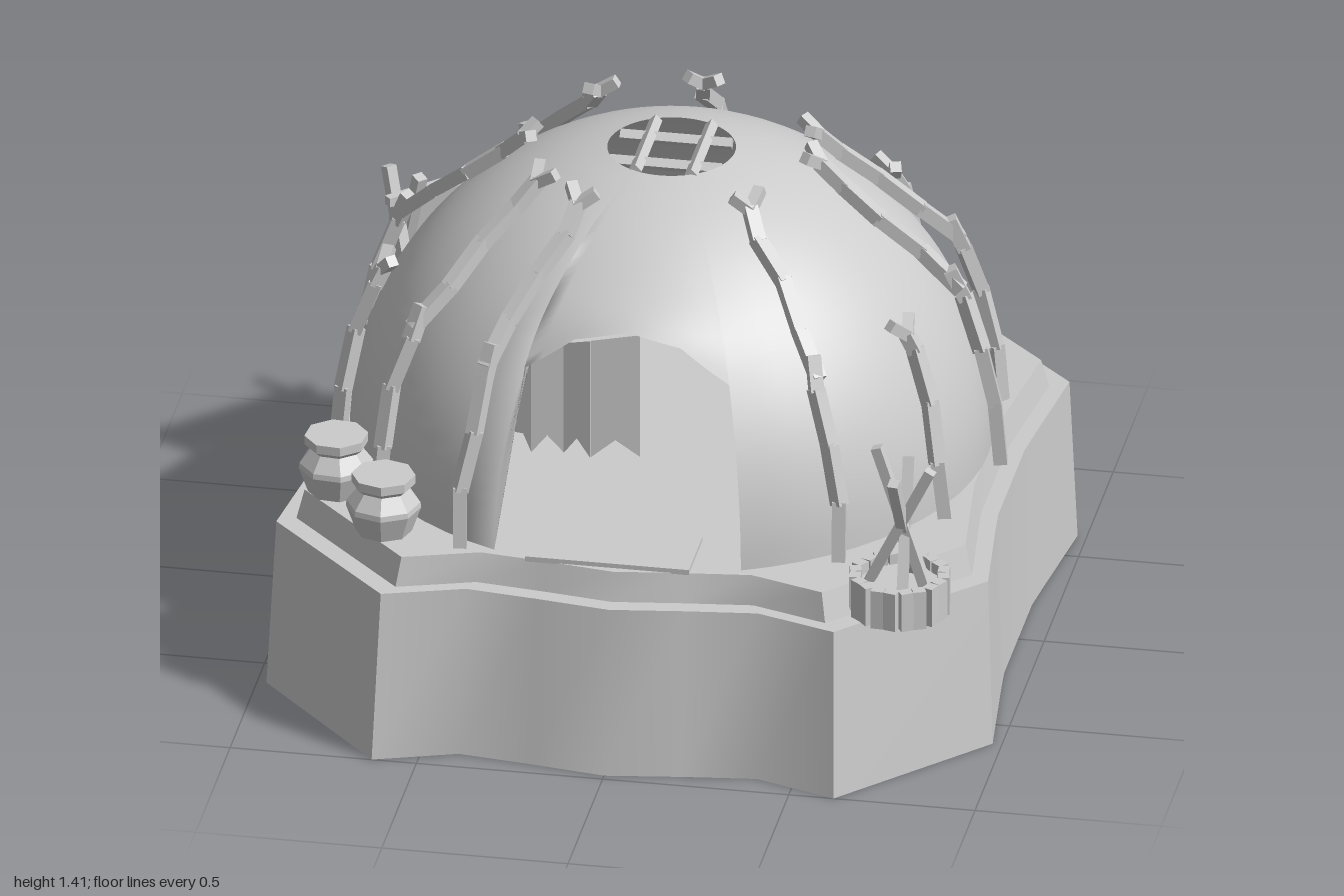
import * as THREE from 'three';
import { toCreasedNormals } from 'three/addons/utils/BufferGeometryUtils.js';

const V = (x, y, z) => new THREE.Vector3(x, y, z);
const smooth = new THREE.MeshStandardMaterial({ color: 0xcccccc, side: THREE.DoubleSide });
const flat = new THREE.MeshStandardMaterial({ color: 0xcccccc, flatShading: true, side: THREE.DoubleSide });
const LEDGE = 0.46, FLOOR = 0.54, R = 0.85;

function add(parent, geo, mat, name, x = 0, y = 0, z = 0) {
  const mesh = new THREE.Mesh(geo, mat);
  mesh.name = name;
  mesh.position.set(x, y, z);
  parent.add(mesh);
  return mesh;
}

// square stick between two points, in the parent's own space
function stick(parent, a, b, w, name) {
  const mesh = add(parent, new THREE.BoxGeometry(w, w, a.distanceTo(b) + w * 0.3), flat, name);
  mesh.position.copy(a).add(b).multiplyScalar(0.5);
  mesh.quaternion.setFromRotationMatrix(new THREE.Matrix4().lookAt(b, a, V(0, 1, 0)));
}

function grid(cols, rows, point) {
  const pos = [], idx = [];
  for (let i = 0; i < cols; i++) for (let j = 0; j < rows; j++) {
    pos.push(...point(i, j));
    if (i < cols - 1 && j < rows - 1) {
      const a = i * rows + j, b = a + rows;
      idx.push(a, b, b + 1, a, b + 1, a + 1);
    }
  }
  const g = new THREE.BufferGeometry();
  g.setAttribute('position', new THREE.Float32BufferAttribute(pos, 3));
  g.setIndex(idx);
  g.computeVertexNormals();
  return g;
}

// wavy base, open below, with a stepped rim and a floor
function makeBase(group) {
  const outline = [[0, 0.98], [0.2, 0.95], [0.4, 0.925], [0.62, 1], [0.975, 0.61], [0.94, 0.3], [0.93, 0.2],
    [0.93, -0.2], [0.94, -0.3], [0.975, -0.62], [0.62, -0.97], [0.4, -0.92], [0.2, -0.95], [0, -1]];
  const mirrored = outline.slice(1, -1).reverse().map(([x, z]) => [-x, z]);
  const loop = [...outline, ...mirrored, outline[0]];
  const rings = [[1, 0], [0.98, LEDGE], [0.93, LEDGE], [0.91, FLOOR]];
  const at = (i, j) => {
    const [x, z] = loop[i], [s, y] = rings[j];
    return [x * s, y, z * s * (j && z > 0 ? 0.955 : 1)];
  };
  add(group, toCreasedNormals(grid(loop.length, rings.length, at), 0.5), smooth, 'baseWall');
  for (const [ring, name] of [[1, 'baseUnderside'], [3, 'baseFloor']]) {
    const shape = new THREE.Shape(loop.slice(0, -1).map((_, i) => {
      const p = at(i, ring);
      return new THREE.Vector2(p[0], -p[2]);
    }));
    const y = rings[ring][1] - (ring === 1 ? 0.003 : 0);
    add(group, new THREE.ShapeGeometry(shape).rotateX(-Math.PI / 2), flat, name, 0, y, 0);
  }
}

// hemisphere with a smoke hole on top and an arched doorway, swelling slightly above the door
function makeDome(group) {
  const door = 0.4, top = Math.acos(0.17 / R), cols = [];
  for (let i = 0; i <= 56; i++) cols.push([door + (i / 56) * (2 * Math.PI - 2 * door), 0]);
  const arch = [[-door, 0.595], [-0.22, 0.715], [0, 0.757], [0.22, 0.715], [door, 0.595]];
  for (let k = 0; k < 4; k++) for (let i = 0; i < 3 + (k === 3); i++) {
    const [p, q] = [arch[k], arch[k + 1]], t = i / 3;
    cols.push([p[0] + (q[0] - p[0]) * t, p[1] + (q[1] - p[1]) * t]);
  }
  const rows = 25;
  const g = grid(cols.length, rows, (i, j) => {
    const [phi, low] = cols[i], e = low + (top - low) * j / (rows - 1);
    const p = Math.atan2(Math.sin(phi), Math.cos(phi));
    const r = R + 0.025 * Math.exp(-((p / 0.35) ** 2) - ((e - 0.73) / 0.13) ** 2);
    return [r * Math.cos(e) * Math.sin(phi), r * Math.sin(e), r * Math.cos(e) * Math.cos(phi)];
  });
  add(group, g, smooth, 'dome', 0, FLOOR, 0);

  // lattice in the smoke hole, bars set on edge
  for (const s of [-0.07, 0.08]) {
    const bar = new THREE.BoxGeometry(0.025, 0.025, 0.3).rotateZ(Math.PI / 4);
    add(group, bar, flat, 'smokeHoleBar', s, 1.37, 0);
    add(group, bar, flat, 'smokeHoleBar', 0, 1.36, s).rotation.y = Math.PI / 2;
  }
}

// threshold and notched hide strips in the doorway
function makeDoorway(group) {
  add(group, new THREE.BoxGeometry(0.44, 0.015, 0.2), flat, 'threshold', -0.02, FLOOR + 0.005, 0.73);
  const xs = [-0.305, -0.26, -0.175, -0.1, 0.03];
  const tops = [0.94, 1.045, 1.085, 1.105, 1.12];
  for (let i = 0; i < 4; i++) {
    const w = xs[i + 1] - xs[i], s = new THREE.Shape();
    s.moveTo(0, tops[i]);
    s.lineTo(0, i ? 0.76 : 0.81);
    s.lineTo(w / 2, 0.81);
    s.lineTo(w, 0.76);
    s.lineTo(w, tops[i + 1]);
    const strip = add(group, new THREE.ShapeGeometry(s), flat, 'doorStrip', xs[i], 0, 0.62 + (i % 2) * 0.012);
    strip.rotation.y = i % 2 ? 0.2 : -0.2;
  }
}

// crooked branch, optionally forked; profile gives [radius, height] along the dome
function branch(group, profile, phi0, phi1, seed, forked, name) {
  const g = new THREE.Group();
  g.name = name;
  group.add(g);
  const last = profile.length - 1;
  const pts = profile.map(([r, y], i) => {
    const wobble = i && i < last ? 0.012 * Math.sin(seed * 2.3 + i * 2.1) / r : 0;
    const a = phi0 + (phi1 - phi0) * i / last + wobble;
    return V(r * Math.sin(a), y, r * Math.cos(a));
  });
  for (let i = 0; i < last; i++) stick(g, pts[i], pts[i + 1], 0.036, 'branchPiece');
  if (!forked) return;
  const end = pts[last], dir = end.clone().sub(pts[last - 1]).normalize();
  const side = V(Math.cos(phi1), 0, -Math.sin(phi1));
  for (const s of [-1, 1]) {
    const tip = end.clone().addScaledVector(side, s * 0.04).addScaledVector(dir, 0.045);
    stick(g, end, tip, 0.03, 'branchFork');
  }
}

function makeBranches(group) {
  const lower = [[0.885, 0.53], [0.87, 0.7], [0.835, 0.86], [0.785, 1.0], [0.765, 1.04]];
  const joined = [...lower.slice(0, 4), [0.75, 1.08]];
  const upper = [[0.775, 1.03], [0.67, 1.125], [0.56, 1.22], [0.46, 1.3], [0.4, 1.36]];
  const long = [[-2.43, -2.45], [3.14, 3.115], [-1.775, -1.6], [-0.89, -0.917],
    [-0.5, -0.487], [0.705, 0.73], [1.56, 1.57], [1.95, 2.0]];
  long.forEach(([a, b], i) => {
    branch(group, joined, a, a, i, false, 'lowerBranch');
    branch(group, upper, a, b, i + 5, true, 'upperBranch');
  });
  [-2.83, 2.45, -1.31, 1.135].forEach((a, i) => branch(group, lower, a, a, i + 9, true, 'shortBranch'));
}

// hide stretched between two crossed-leg stands
function makeHideRack(group) {
  const rack = new THREE.Group();
  rack.name = 'hideRack';
  rack.position.set(-0.655, FLOOR, -0.655);
  rack.rotation.y = -Math.PI * 0.75;
  group.add(rack);
  for (const s of [-1, 1]) {
    const x = s * 0.22;
    stick(rack, V(x - 0.015, 0, 0.08), V(x - 0.015, 0.43, -0.05), 0.03, 'rackLeg');
    stick(rack, V(x + 0.015, 0, -0.08), V(x + 0.015, 0.43, 0.05), 0.03, 'rackLeg');
  }
  stick(rack, V(-0.27, 0.36, 0), V(0.27, 0.36, 0), 0.025, 'rackBar');
  const hide = add(rack, new THREE.BoxGeometry(0.41, 0.36, 0.012), flat, 'hide', 0, 0.19, 0.05);
  hide.rotation.x = -0.2;
}

function makePots(group) {
  const profile = [[0, 0], [0.075, 0], [0.1, 0.07], [0.098, 0.085], [0.068, 0.125], [0.085, 0.14],
    [0.085, 0.165], [0, 0.165]].map(([r, y]) => new THREE.Vector2(r, y));
  for (const [x, z, a] of [[-0.805, 0.515, 0.3], [-0.64, 0.72, 0.1]]) {
    add(group, new THREE.LatheGeometry(profile, 8), flat, 'pot', x, FLOOR, z).rotation.y = a;
  }
}

// round fire pit fenced by small stakes, with crossed firewood
function makeFirePit(group) {
  const pit = new THREE.Group();
  pit.name = 'firePit';
  pit.position.set(0.755, LEDGE, 0.77);
  group.add(pit);
  add(pit, new THREE.CylinderGeometry(0.115, 0.115, 0.08, 20), flat, 'pitBed', 0, 0.04, 0);
  for (let i = 0; i < 20; i++) {
    const a = (i / 20) * Math.PI * 2;
    const stake = add(pit, new THREE.BoxGeometry(0.034, 0.11, 0.03), flat, 'pitStake',
      0.118 * Math.sin(a), 0.055, 0.118 * Math.cos(a));
    stake.rotation.y = a + (i % 2 ? 0.25 : -0.25);
  }
  stick(pit, V(-0.08, 0.08, 0), V(0.085, 0.42, 0.02), 0.028, 'firewood');
  stick(pit, V(0.02, 0.08, -0.07), V(0, 0.41, 0.085), 0.028, 'firewood');
  stick(pit, V(0.02, 0.08, 0.07), V(0.01, 0.41, -0.075), 0.028, 'firewood');
  stick(pit, V(0.07, 0.08, 0.01), V(-0.06, 0.47, 0), 0.028, 'firewood');
}

export function createModel() {
  const group = new THREE.Group();
  group.name = 'hut';
  for (const make of [makeBase, makeDome, makeDoorway, makeBranches, makeHideRack, makePots, makeFirePit]) make(group);
  return group;
}
